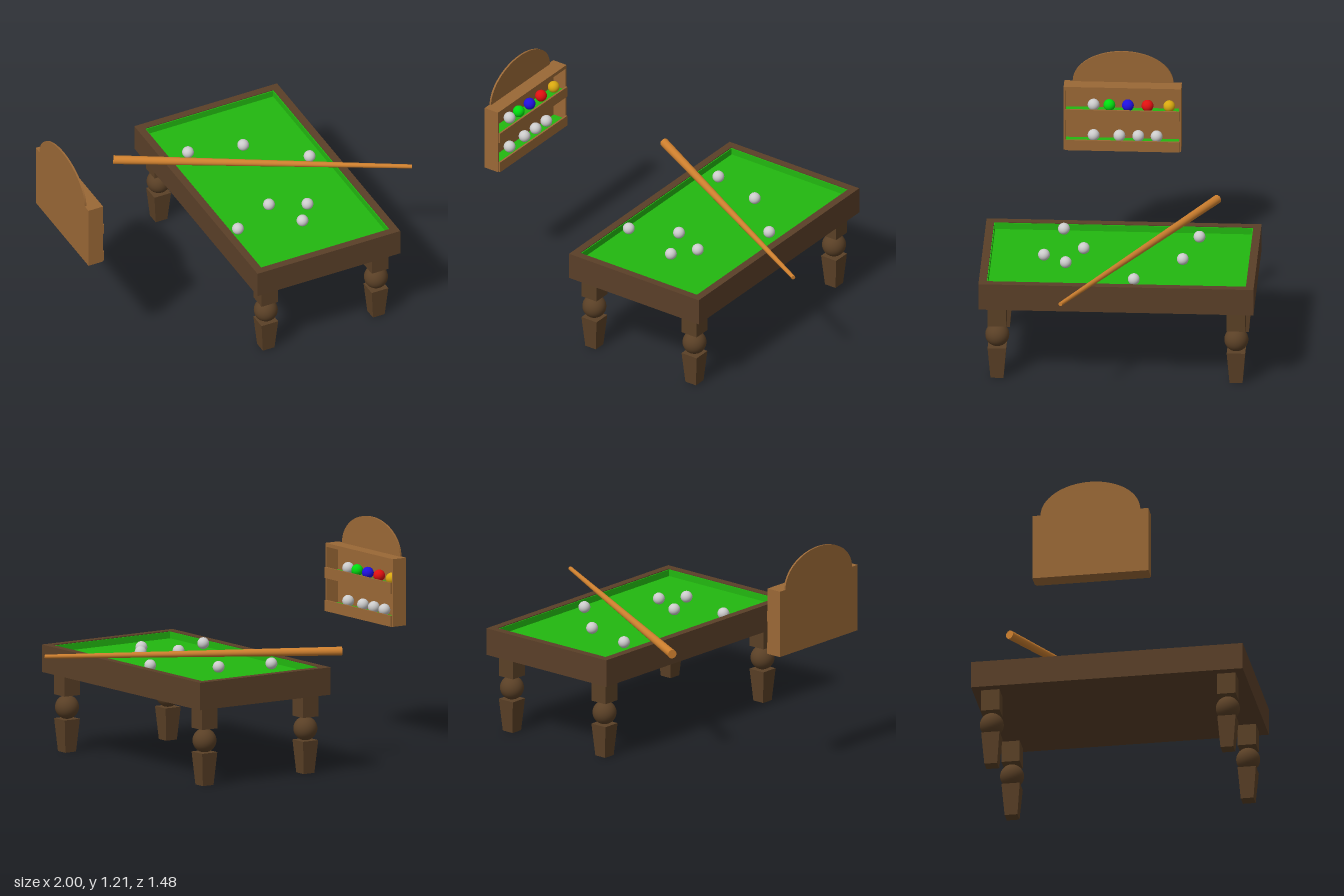
import * as THREE from 'three';

const material = (color) => new THREE.MeshStandardMaterial({ color });

export function createModel() {
  const model = new THREE.Group();
  const darkWood = material(0x5a3f28);
  const legWood = material(0x5a4026);
  const rackWood = material(0x9a6836);
  const cueWood = material(0xcd7f2e);
  const felt = material(0x22b810);
  const grey = material(0xcccccc);

  function add(parent, name, geometry, mat, x = 0, y = 0, z = 0) {
    const mesh = new THREE.Mesh(geometry, mat);
    mesh.name = name;
    mesh.position.set(x, y, z);
    parent.add(mesh);
    return mesh;
  }
  // Box given by its minimum and maximum corners
  function box(parent, name, mat, [x0, y0, z0], [x1, y1, z1]) {
    return add(parent, name, new THREE.BoxGeometry(x1 - x0, y1 - y0, z1 - z0), mat,
      (x0 + x1) / 2, (y0 + y1) / 2, (z0 + z1) / 2);
  }
  function group(name) {
    const g = new THREE.Group();
    g.name = name;
    model.add(g);
    return g;
  }

  // Table: underside, raised rim, felt bed and felt cushions
  const table = group('table');
  const W = 0.43, D = 0.742, rim = 0.043, cushion = 0.005;
  table.position.x = 0.26;
  const w = W - rim, d = D - rim;
  box(table, 'tableBase', darkWood, [-w, 0.43, -d], [w, 0.53, d]);
  box(table, 'bedFelt', felt, [-w, 0.53, -d], [w, 0.54, d]);
  for (const s of [-1, 1]) {
    const side = s * (W - rim / 2), end = s * (D - rim / 2);
    box(table, 'sideRim', darkWood, [side - rim / 2, 0.43, -D], [side + rim / 2, 0.58, D]);
    box(table, 'endRim', darkWood, [-w, 0.43, end - rim / 2], [w, 0.58, end + rim / 2]);
    add(table, 'sideCushion', new THREE.BoxGeometry(cushion, 0.036, 2 * d), felt, s * (w - cushion / 2), 0.558, 0);
    add(table, 'endCushion', new THREE.BoxGeometry(2 * w, 0.036, cushion), felt, 0, 0.558, s * (d - cushion / 2));
  }

  // Legs: square block, ball and tapered square foot
  const footGeometry = new THREE.CylinderGeometry(0.05 * Math.SQRT2, 0.035 * Math.SQRT2, 0.18, 4)
    .rotateY(Math.PI / 4).toNonIndexed();
  footGeometry.computeVertexNormals();
  const knobGeometry = new THREE.SphereGeometry(0.065, 32, 20);
  for (const sx of [-1, 1]) {
    for (const sz of [-1, 1]) {
      const leg = new THREE.Group();
      leg.name = 'leg';
      leg.position.set(sx * 0.332, 0, sz * 0.645);
      add(leg, 'legBlock', new THREE.BoxGeometry(0.1, 0.12, 0.1), legWood, 0, 0.37, 0);
      add(leg, 'legBall', knobGeometry, legWood, 0, 0.243, 0);
      add(leg, 'legFoot', footGeometry, legWood, 0, 0.09, 0);
      table.add(leg);
    }
  }

  // Loose balls on the bed
  const ballGeometry = new THREE.SphereGeometry(0.032, 32, 20);
  const balls = group('tableBalls');
  const spots = [[-0.01, -0.415], [0.285, -0.34], [0.56, -0.09], [0.17, 0.2],
    [-0.077, 0.32], [0.358, 0.288], [0.267, 0.41]];
  for (const [x, z] of spots) add(balls, 'ball', ballGeometry, grey, x, 0.571, z);

  // Tapered cue lying across the table
  const butt = new THREE.Vector3(-0.422, 0.608, -0.49);
  const tip = new THREE.Vector3(0.99, 0.608, 0.285);
  const axis = tip.clone().sub(butt);
  const cue = add(model, 'cue', new THREE.CylinderGeometry(0.011, 0.024, axis.length(), 32), cueWood);
  cue.position.copy(butt).add(tip).multiplyScalar(0.5);
  cue.quaternion.setFromUnitVectors(new THREE.Vector3(0, 1, 0), axis.normalize());

  // Wall rack: case open towards +x, with two felt shelves and front rails
  const rack = group('ballRack');
  rack.position.z = 0.048;
  const H = 0.317, t = 0.01, back = -1, front = -0.912;
  box(rack, 'rackBack', rackWood, [back, 0.66, -H], [back + t, 1.03, H]);
  box(rack, 'rackTop', rackWood, [back + t, 1.01, -H], [front, 1.03, H]);
  for (const s of [-1, 1]) {
    add(rack, 'rackSide', new THREE.BoxGeometry(front - back - t, 0.35, t), rackWood,
      (front + back + t) / 2, 0.835, s * (H - t / 2));
  }
  for (const y of [0.66, 0.84]) {
    box(rack, 'shelf', rackWood, [back + t, y, t - H], [front, y + 0.034, H - t]);
    box(rack, 'shelfFelt', felt, [back + t, y + 0.034, t - H], [front, y + 0.04, H - t]);
    box(rack, 'shelfRail', rackWood, [front, y, 0.007 - H], [-0.902, y + 0.06, H - 0.007]);
  }

  // Half-oval crest above the case
  const crest = new THREE.Shape();
  crest.absellipse(0, 0, 0.272, 0.18, 0, Math.PI, false);
  crest.closePath();
  const crestGeometry = new THREE.ExtrudeGeometry(crest, { depth: t, bevelEnabled: false, curveSegments: 48 });
  add(rack, 'rackCrest', crestGeometry.rotateY(Math.PI / 2), rackWood, back, 1.03, 0);

  // Racked balls
  const rackBalls = group('rackBalls');
  const upper = [[0.205, grey], [0.12, material(0x00dd10)], [0.02, material(0x2010e0)],
    [-0.086, material(0xe01010)], [-0.203, material(0xd8a810)]];
  for (const [z, mat] of upper) add(rackBalls, 'upperBall', ballGeometry, mat, -0.95, 0.912, z);
  for (const z of [0.205, 0.066, -0.036, -0.135]) add(rackBalls, 'lowerBall', ballGeometry, grey, -0.95, 0.732, z);

  return model;
}
